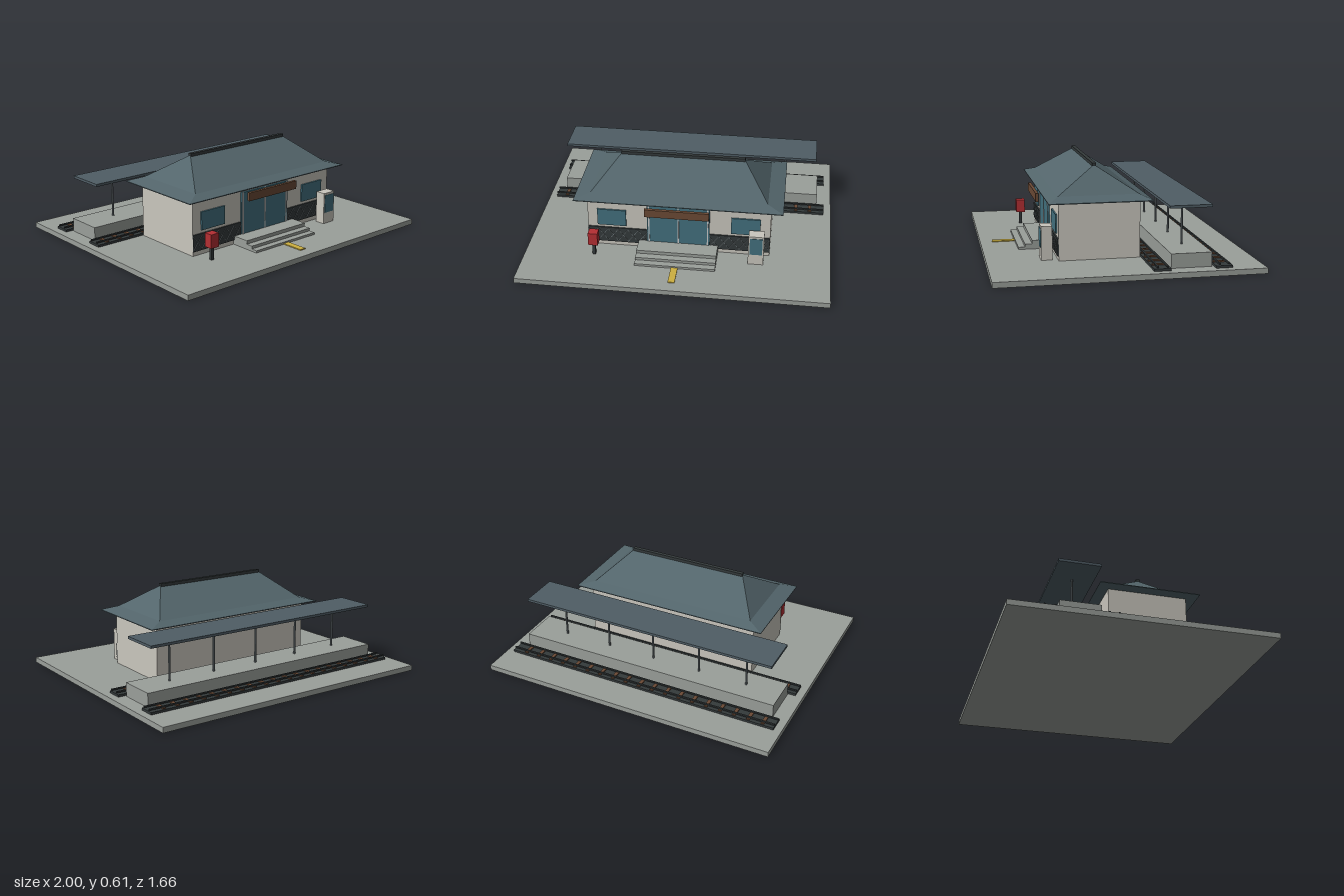
import * as THREE from 'three';

const mats = {};
const mat = (color) => (mats[color] ??= new THREE.MeshStandardMaterial({ color, flatShading: true }));
const C = {
  ground: 0x9a9f9a, wall: 0xcac7be, roof: 0x53656b, canopy: 0x4f5d65, dark: 0x343a3b, glass: 0x43717f,
  wood: 0x6b4a35, red: 0xb52f33, yellow: 0xcdb040, frame: 0xcfd3d0, steel: 0x6f787c,
};

// Box given by its limits on each axis
function box(parent, name, color, [x0, x1], [y0, y1], [z0, z1]) {
  const m = new THREE.Mesh(new THREE.BoxGeometry(x1 - x0, y1 - y0, z1 - z0), mat(color));
  m.position.set((x0 + x1) / 2, (y0 + y1) / 2, (z0 + z1) / 2);
  m.name = name;
  parent.add(m);
  return m;
}

function group(parent, name) {
  const g = new THREE.Group();
  g.name = name;
  parent.add(g);
  return g;
}

// Hipped surface through stacked rectangles [halfX, halfZ, y], closed underneath
function hippedGeometry(rings) {
  const corners = rings.map(([x, z, y]) => [[-x, y, z], [x, y, z], [x, y, -z], [-x, y, -z]]);
  const pos = [];
  const quad = (a, b, c, d) => pos.push(...a, ...b, ...c, ...a, ...c, ...d);
  for (let i = 0; i < rings.length - 1; i++) {
    for (let k = 0; k < 4; k++) {
      const n = (k + 1) % 4;
      quad(corners[i][k], corners[i][n], corners[i + 1][n], corners[i + 1][k]);
    }
  }
  const [a, b, c, d] = corners[0];
  quad(d, c, b, a);
  const g = new THREE.BufferGeometry();
  g.setAttribute('position', new THREE.Float32BufferAttribute(pos, 3));
  g.computeVertexNormals();
  return g;
}

// Ballast bed, sleepers and two rails
function addTrack(parent, name, z) {
  const g = group(parent, name);
  box(g, 'ballast', C.dark, [-0.95, 0.95], [0.035, 0.05], [z - 0.052, z + 0.052]);
  for (let i = 0; i < 19; i++) {
    const x = -0.875 + i * 0.096;
    box(g, 'sleeper', C.wood, [x - 0.011, x + 0.011], [0.05, 0.057], [z - 0.045, z + 0.045]);
  }
  for (const s of [-1, 1]) {
    const r = z + s * 0.03;
    box(g, 'rail', C.dark, [-0.95, 0.95], [0.057, 0.066], [r - 0.005, r + 0.005]);
  }
}

// Dark lower wall panel with crossed lattice bars
function addDado(parent, x0, x1) {
  const g = group(parent, 'latticePanel');
  box(g, 'panel', C.dark, [x0, x1], [0.065, 0.175], [0.38, 0.394]);
  const n = 6, w = (x1 - x0) / n, h = 0.09;
  for (let i = 0; i < n; i++) {
    for (const s of [-1, 1]) {
      const bar = new THREE.Mesh(new THREE.BoxGeometry(Math.hypot(w, h), 0.003, 0.003), mat(C.steel));
      bar.position.set(x0 + (i + 0.5) * w, 0.12, 0.395);
      bar.rotation.z = s * Math.atan2(h, w);
      bar.name = 'latticeBar';
      g.add(bar);
    }
  }
}

export function createModel() {
  const model = new THREE.Group();
  model.name = 'station';
  box(model, 'ground', C.ground, [-1, 1], [0, 0.035], [-0.83, 0.83]);

  // Station house
  const house = group(model, 'stationHouse');
  box(house, 'walls', C.wall, [-0.6, 0.6], [0.035, 0.408], [-0.13, 0.385]);
  const roof = new THREE.Mesh(
    hippedGeometry([[0.677, 0.328, 0.405], [0.677, 0.328, 0.41], [0.575, 0.258, 0.436], [0.405, 0.002, 0.6]]),
    mat(C.roof));
  roof.position.z = 0.127;
  roof.name = 'roof';
  house.add(roof);
  box(house, 'ridgeCap', C.dark, [-0.408, 0.408], [0.588, 0.613], [0.114, 0.14]);

  for (const s of [-1, 1]) {
    const c = s * 0.44;
    box(house, 'window', C.glass, [c - 0.095, c + 0.095], [0.195, 0.315], [0.38, 0.395]);
    addDado(house, s < 0 ? -0.6 : 0.2, s < 0 ? -0.2 : 0.6);
  }

  // Entrance
  const entrance = group(model, 'entrance');
  box(entrance, 'doorGlass', C.glass, [-0.205, 0.205], [0.07, 0.372], [0.38, 0.398]);
  for (const x of [-0.193, 0, 0.193]) {
    box(entrance, 'doorFrame', C.frame, [x - 0.004, x + 0.004], [0.09, 0.372], [0.39, 0.402]);
  }
  box(entrance, 'signBoard', C.wood, [-0.21, 0.207], [0.335, 0.39], [0.457, 0.477]);
  [[0.6, 0.05], [0.557, 0.069], [0.51, 0.092]].forEach(([z, y]) =>
    box(entrance, 'step', C.ground, [-0.262, 0.262], [y - 0.023, y], [0.385, z]));
  box(entrance, 'stepBase', C.ground, [-0.262, 0.262], [0.035, 0.06], [0.385, 0.557]);
  box(entrance, 'guideStrip', C.yellow, [-0.022, 0.022], [0.035, 0.041], [0.6, 0.75]);

  // Post box
  const postBox = group(model, 'postBox');
  box(postBox, 'stand', C.dark, [-0.553, -0.533], [0.035, 0.12], [0.488, 0.51]);
  box(postBox, 'body', C.red, [-0.574, -0.512], [0.12, 0.21], [0.47, 0.53]);

  // Vending machine
  const vending = group(model, 'vendingMachine');
  box(vending, 'cabinet', C.wall, [0.465, 0.565], [0.035, 0.25], [0.42, 0.49]);
  box(vending, 'displayWindow', C.glass, [0.474, 0.556], [0.112, 0.235], [0.48, 0.493]);

  // Platform with canopy
  const platform = group(model, 'platform');
  box(platform, 'slab', C.ground, [-0.9, 0.9], [0.035, 0.125], [-0.507, -0.252]);
  box(platform, 'canopy', C.canopy, [-0.876, 0.876], [0.397, 0.414], [-0.513, -0.247]);
  for (let i = -2; i <= 2; i++) {
    const post = new THREE.Mesh(new THREE.CylinderGeometry(0.007, 0.007, 0.275, 8), mat(C.steel));
    post.position.set(i * 0.3325, 0.2615, -0.38);
    post.name = 'canopyPost';
    platform.add(post);
  }

  addTrack(model, 'nearTrack', -0.188);
  addTrack(model, 'farTrack', -0.572);
  return model;
}
